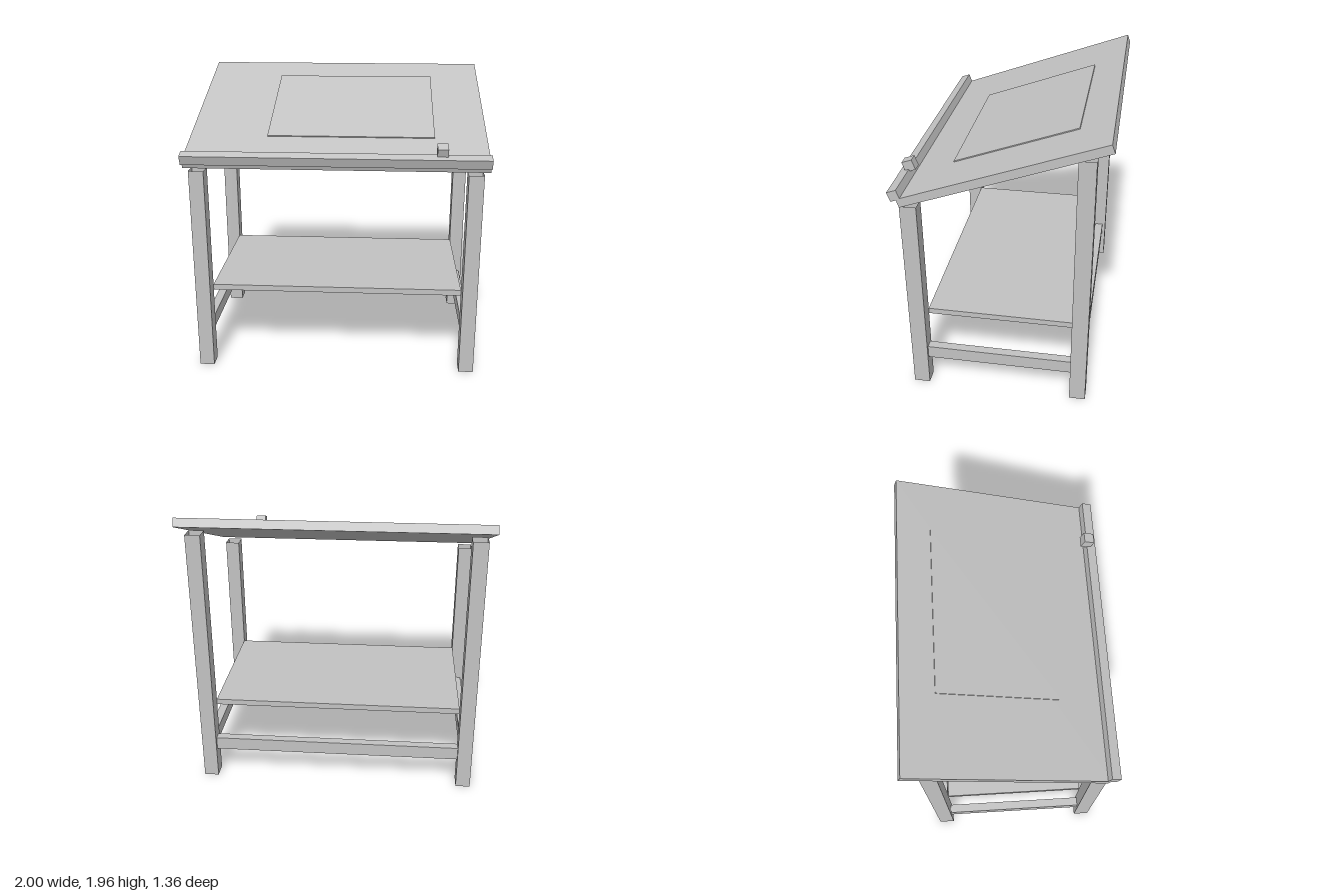
import * as THREE from 'three';

export function createModel() {
  const model = new THREE.Group();
  model.name = 'draftingTable';
  const grey = new THREE.MeshStandardMaterial({ color: 0xc2c2c2 });
  grey.name = 'plainGrey';
  const tubeGrey = new THREE.MeshStandardMaterial({ color: 0xc2c2c2, side: THREE.DoubleSide });
  tubeGrey.name = 'plainGrey';

  // Box given by its lower and upper corners
  function box(parent, name, [x0, y0, z0], [x1, y1, z1], material = grey) {
    const geometry = new THREE.BoxGeometry(x1 - x0, y1 - y0, z1 - z0);
    const mesh = new THREE.Mesh(geometry, material);
    mesh.position.set((x0 + x1) / 2, (y0 + y1) / 2, (z0 + z1) / 2);
    mesh.name = name;
    parent.add(mesh);
    return mesh;
  }

  // Square tube: a box with its top and bottom faces removed
  function tube(name, low, high) {
    const { geometry } = box(model, name, low, high, tubeGrey);
    const index = Array.from(geometry.index.array);
    index.splice(12, 12);
    geometry.setIndex(index);
    geometry.clearGroups();
  }

  // Legs and side rails, mirrored left and right
  for (const side of [-1, 1]) {
    const label = side > 0 ? 'left' : 'right';
    const x = side * 0.91;
    tube(label + 'FrontLeg', [x - 0.05, 0, 0.507], [x + 0.05, 1.42, 0.615]);
    tube(label + 'BackLeg', [x - 0.05, 0, -0.587], [x + 0.05, 1.82, -0.479]);
    box(model, label + 'Rail', [x - 0.03, 0.21, -0.479], [x + 0.03, 0.3, 0.507]);
  }

  // Back rail and shelf
  box(model, 'backRail', [-0.86, 0.21, -0.563], [0.86, 0.3, -0.503]);
  box(model, 'shelf', [-0.86, 0.53, -0.479], [0.86, 0.57, 0.507]);

  // Tilted top with its ledge, sheet and small block
  const top = new THREE.Group();
  top.name = 'tiltedTop';
  top.position.set(0, 1.696, -0.034);
  top.rotation.x = THREE.MathUtils.degToRad(19.9);
  model.add(top);
  box(top, 'board', [-1, -0.029, -0.683], [1, 0.029, 0.683]);
  box(top, 'ledge', [-1, 0.022, 0.655], [1, 0.087, 0.72]);
  box(top, 'sheet', [-0.475, 0.029, -0.46], [0.652, 0.036, 0.38]);
  box(top, 'block', [0.652, 0.073, 0.613], [0.722, 0.143, 0.683]);

  return model;
}
